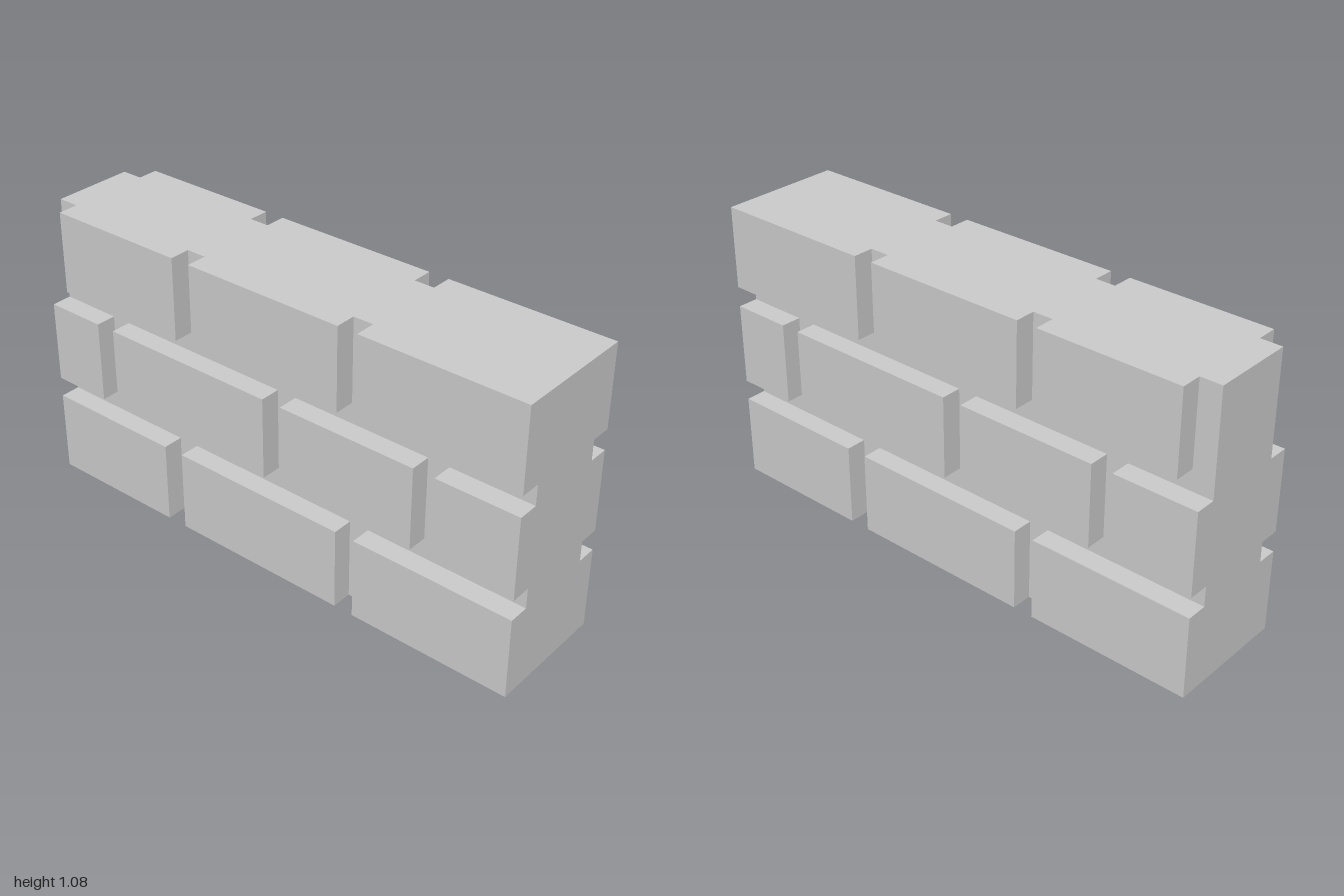
import * as THREE from 'three';

const CORE = 0.154;      // half thickness of the core
const FACE = 0.231;      // half thickness at the brick faces
const ROW = 0.308;       // brick height
const STEP = 0.3845;     // brick height plus joint
const HEIGHT = 1.077;
const POCKET = 0.08;     // depth of the pocket in the underside

// Brick spans [zFrom, zTo] on the +x side, from the bottom row up
const ROWS = [
  [[0.465, 1], [-0.31, 0.385], [-1, -0.385]],
  [[0.77, 1], [0, 0.695], [-0.61, -0.075], [-1, -0.69]],
  [[0.385, 1], [-0.31, 0.31], [-0.92, -0.385]],
];

export function createModel() {
  const wall = new THREE.Group();
  wall.name = 'brickWall';
  const material = new THREE.MeshStandardMaterial({ color: 0xcccccc, flatShading: true });

  const add = (name, geometry, x, y, z, parent = wall) => {
    const mesh = new THREE.Mesh(geometry, material);
    mesh.name = name;
    mesh.position.set(x, y, z);
    parent.add(mesh);
  };

  // Core base: a slab with a small pocket open to the underside
  const rect = (Type, x0, x1, y0, y1) => new Type([
    new THREE.Vector2(x0, y0), new THREE.Vector2(x1, y0),
    new THREE.Vector2(x1, y1), new THREE.Vector2(x0, y1),
  ]);
  const slab = rect(THREE.Shape, -CORE, CORE, -1, 1);
  slab.holes.push(rect(THREE.Path, -0.077, 0.077, 0.31, 0.385));
  const base = new THREE.ExtrudeGeometry(slab, { depth: POCKET, bevelEnabled: false });
  base.rotateX(-Math.PI / 2);
  add('coreBase', base, 0, 0, 0);

  // Solid core above the pocket
  add('core', new THREE.BoxGeometry(2 * CORE, HEIGHT - POCKET, 2), 0, (HEIGHT + POCKET) / 2, 0);

  // Raised bricks; the lower rows are turned end for end on the -x side
  for (const side of [1, -1]) {
    const bricks = new THREE.Group();
    bricks.name = side > 0 ? 'leftBricks' : 'rightBricks';
    wall.add(bricks);
    ROWS.forEach((spans, row) => {
      const flip = side < 0 && row < 2 ? -1 : 1;
      for (const [z0, z1] of spans) {
        const geometry = new THREE.BoxGeometry(FACE - CORE, ROW, z1 - z0);
        add('brick', geometry, side * (FACE + CORE) / 2, row * STEP + ROW / 2, flip * (z0 + z1) / 2, bricks);
      }
    });
  }
  return wall;
}
